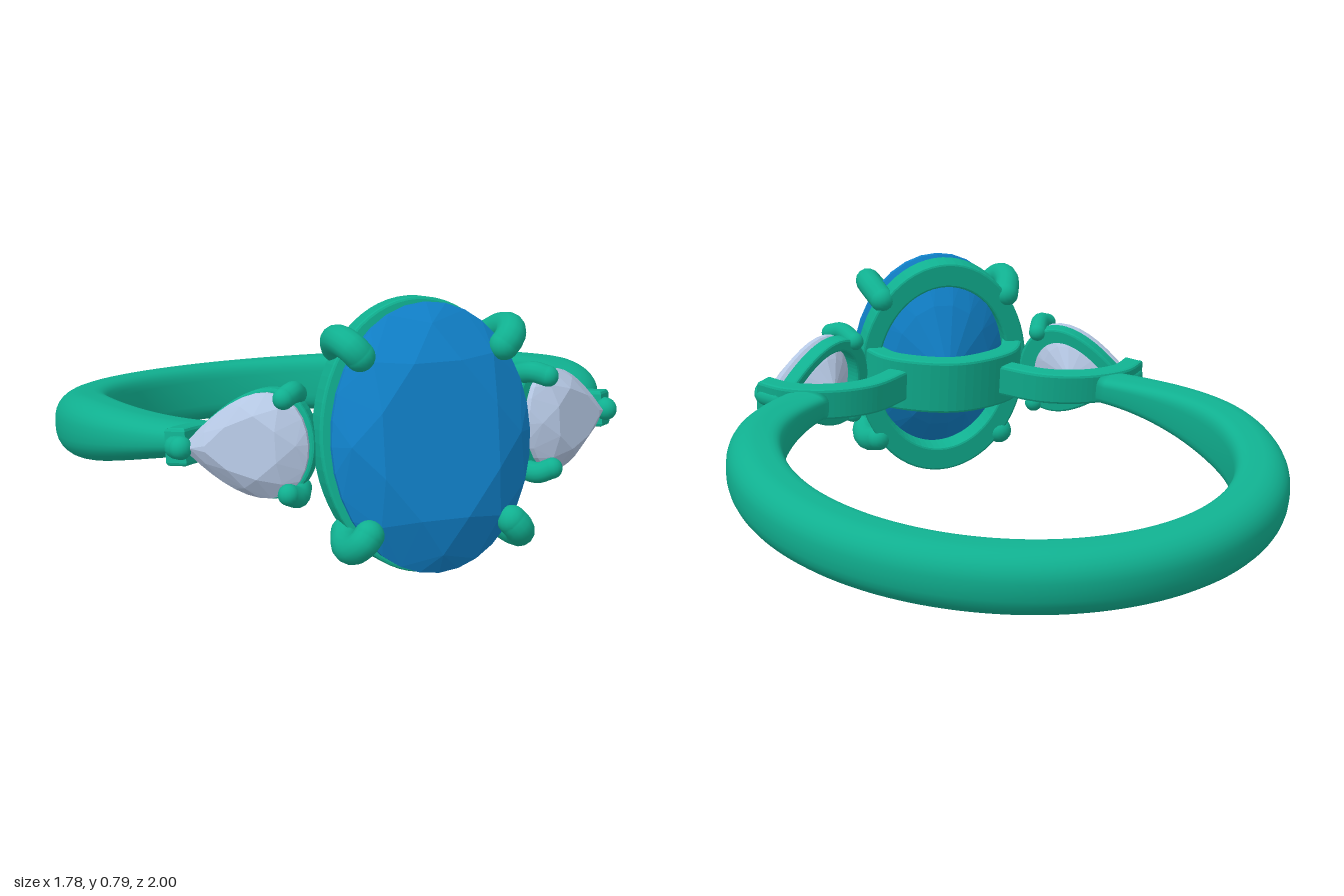
import * as THREE from 'three';
import { ConvexGeometry } from 'three/addons/geometries/ConvexGeometry.js';

const metal = new THREE.MeshStandardMaterial({ color: 0x10b090 });
const blue = new THREE.MeshStandardMaterial({ color: 0x1080c8 });
const pale = new THREE.MeshStandardMaterial({ color: 0xb4c6e2 });

function add(parent, name, geometry, material = metal) {
  const mesh = new THREE.Mesh(geometry, material);
  mesh.name = name;
  parent.add(mesh);
  return mesh;
}

// Gem outlines: angle -> [x, y]
const oval = (t) => [0.295 * Math.cos(t), 0.383 * Math.sin(t)];
const pear = (s) => (t) => [s * 0.185 * Math.cos(t), 0.195 * Math.sin(t) * Math.abs(Math.sin(t / 2))];

// Faceted stone: rings of [count, scale, z, phase] wrapped in a convex hull
function gemGeometry(outline, crown, pavilion, table) {
  const rings = [
    [8, table, crown, 0.5],
    [8, (1 + table) / 2 + 0.04, crown * 0.6, 0],
    [32, 1, 0.008, 0],
    [32, 1, -0.008, 0],
    [16, 0.6, -pavilion * 0.5, 0.5],
    [1, 0, -pavilion, 0],
  ];
  const points = [];
  for (const [n, scale, z, phase] of rings) {
    for (let i = 0; i < n; i++) {
      const [x, y] = outline(((i + phase) / n) * Math.PI * 2);
      points.push(new THREE.Vector3(x * scale, y * scale, z));
    }
  }
  return new ConvexGeometry(points);
}

// Open seat that follows a gem outline
function seatGeometry(outline, outer, inner, depth) {
  const loop = (k) => Array.from({ length: 64 }, (_, i) => {
    const [x, y] = outline((i / 64) * Math.PI * 2);
    return new THREE.Vector2(x * k, y * k);
  });
  const shape = new THREE.Shape(loop(outer));
  shape.holes.push(new THREE.Path(loop(inner)));
  const b = 0.008;
  return new THREE.ExtrudeGeometry(shape, {
    depth: depth - 2 * b, bevelThickness: b, bevelSize: b, bevelOffset: -b, bevelSegments: 2,
  }).translate(0, 0, b - depth / 2);
}

// Round-ended claw along a smooth path
function addProng(parent, name, path, radius) {
  const group = new THREE.Group();
  group.name = name;
  const pts = path.map((p) => new THREE.Vector3(...p));
  add(group, 'prongStem', new THREE.TubeGeometry(new THREE.CatmullRomCurve3(pts), 20, radius, 14));
  for (const p of [pts[0], pts[pts.length - 1]]) {
    add(group, 'prongEnd', new THREE.SphereGeometry(radius, 16, 12)).position.copy(p);
  }
  parent.add(group);
}

// Upright curved strip following a path in the x-z plane
function archGeometry(path, thickness, height) {
  const curve = new THREE.SplineCurve(path.map((p) => new THREE.Vector2(...p)));
  const a = [], c = [];
  for (let i = 0; i <= 32; i++) {
    const p = curve.getPoint(i / 32), t = curve.getTangent(i / 32);
    const n = new THREE.Vector2(-t.y, t.x).multiplyScalar(thickness / 2);
    a.push(p.clone().add(n));
    c.unshift(p.clone().sub(n));
  }
  const b = 0.01;
  return new THREE.ExtrudeGeometry(new THREE.Shape([...a, ...c]), {
    depth: height - 2 * b, bevelThickness: b, bevelSize: b, bevelOffset: -b, bevelSegments: 2,
  }).translate(0, 0, b - height / 2).rotateX(Math.PI / 2);
}

// Tapered band: flat inside, domed outside, open behind the stones
function bandGeometry() {
  const N = 128, M = 32, start = THREE.MathUtils.degToRad(41);
  const pos = [], index = [];
  const pow = (v, e) => Math.sign(v) * Math.abs(v) ** e;
  for (let i = -1; i <= N + 1; i++) {
    const cap = i < 0 || i > N ? 0 : 1;
    const k = Math.min(Math.max(i, 0), N);
    const th = start + (k / N) * (2 * Math.PI - 2 * start);
    const fromFront = THREE.MathUtils.radToDeg(Math.min(th, 2 * Math.PI - th));
    const u = THREE.MathUtils.smoothstep(fromFront, 36, 90);
    const h = (0.045 + 0.055 * u) * cap, w = (0.078 + 0.012 * u) * cap;
    for (let j = 0; j < M; j++) {
      const a = (j / M) * Math.PI * 2, c = Math.cos(a), s = Math.sin(a);
      const r = 0.8 + w * pow(c, c > 0 ? 1 : 0.5);
      pos.push(r * Math.sin(th), h * pow(s, c > 0 ? 0.8 : 0.5), r * Math.cos(th));
    }
  }
  for (let i = 0; i < N + 2; i++) {
    for (let j = 0; j < M; j++) {
      const a = i * M + j, b = i * M + ((j + 1) % M);
      index.push(a, a + M, b, b, a + M, b + M);
    }
  }
  const g = new THREE.BufferGeometry();
  g.setAttribute('position', new THREE.Float32BufferAttribute(pos, 3));
  g.setIndex(index);
  g.computeVertexNormals();
  return g;
}

export function createModel() {
  const model = new THREE.Group();
  model.name = 'threeStoneRing';

  // Everything is built flat, then tilted so the stones look slightly up
  const ring = new THREE.Group();
  ring.name = 'ring';
  ring.position.set(0, 0.25, -0.11);
  ring.rotation.x = THREE.MathUtils.degToRad(-10);
  model.add(ring);

  add(ring, 'band', bandGeometry());

  // Centre stone with its seat, arch and four prongs
  add(ring, 'centreStone', gemGeometry(oval, 0.085, 0.235, 0.62), blue).position.z = 1.0;
  add(ring, 'centreSeat', seatGeometry(oval, 1.03, 0.8, 0.085)).position.z = 0.885;
  add(ring, 'centreArch', archGeometry(
    [[-0.265, 0.9], [-0.2, 0.765], [0, 0.69], [0.2, 0.765], [0.265, 0.9]], 0.07, 0.19));
  for (const sx of [-1, 1]) {
    for (const sy of [-1, 1]) {
      const [px, py] = oval(THREE.MathUtils.degToRad(42));
      const at = (k, z) => [sx * px * k, sy * py * k, z];
      addProng(ring, 'centreProng',
        [at(1.03, 0.87), at(1.13, 0.94), at(1.13, 1.01), at(1.05, 1.045), at(0.97, 1.045)], 0.043);
    }
  }

  // Side stones, turned outward, with the pear tip away from the centre
  for (const s of [-1, 1]) {
    const side = new THREE.Group();
    side.name = s > 0 ? 'leftSideSetting' : 'rightSideSetting';
    side.position.set(s * 0.49, 0, 0.81);
    side.rotation.y = s * THREE.MathUtils.degToRad(31);
    ring.add(side);

    add(side, 'sideStone', gemGeometry(pear(s), 0.055, 0.13, 0.6), pale);
    add(side, 'sideSeat', seatGeometry(pear(s), 1.05, 0.78, 0.06)).position.z = -0.06;
    for (const sy of [-1, 1]) {
      addProng(side, 'sideProng',
        [[s * -0.135, sy * 0.135, -0.08], [s * -0.145, sy * 0.148, 0], [s * -0.13, sy * 0.135, 0.04]], 0.031);
    }
    addProng(side, 'tipProng',
      [[s * 0.2, 0, -0.07], [s * 0.21, 0, -0.01], [s * 0.185, 0, 0.022]], 0.034);

    add(ring, 'sideArch', archGeometry(
      [[s * 0.67, 0.71], [s * 0.59, 0.635], [s * 0.45, 0.605], [s * 0.31, 0.635], [s * 0.19, 0.73]], 0.07, 0.11));
  }
  return model;
}
